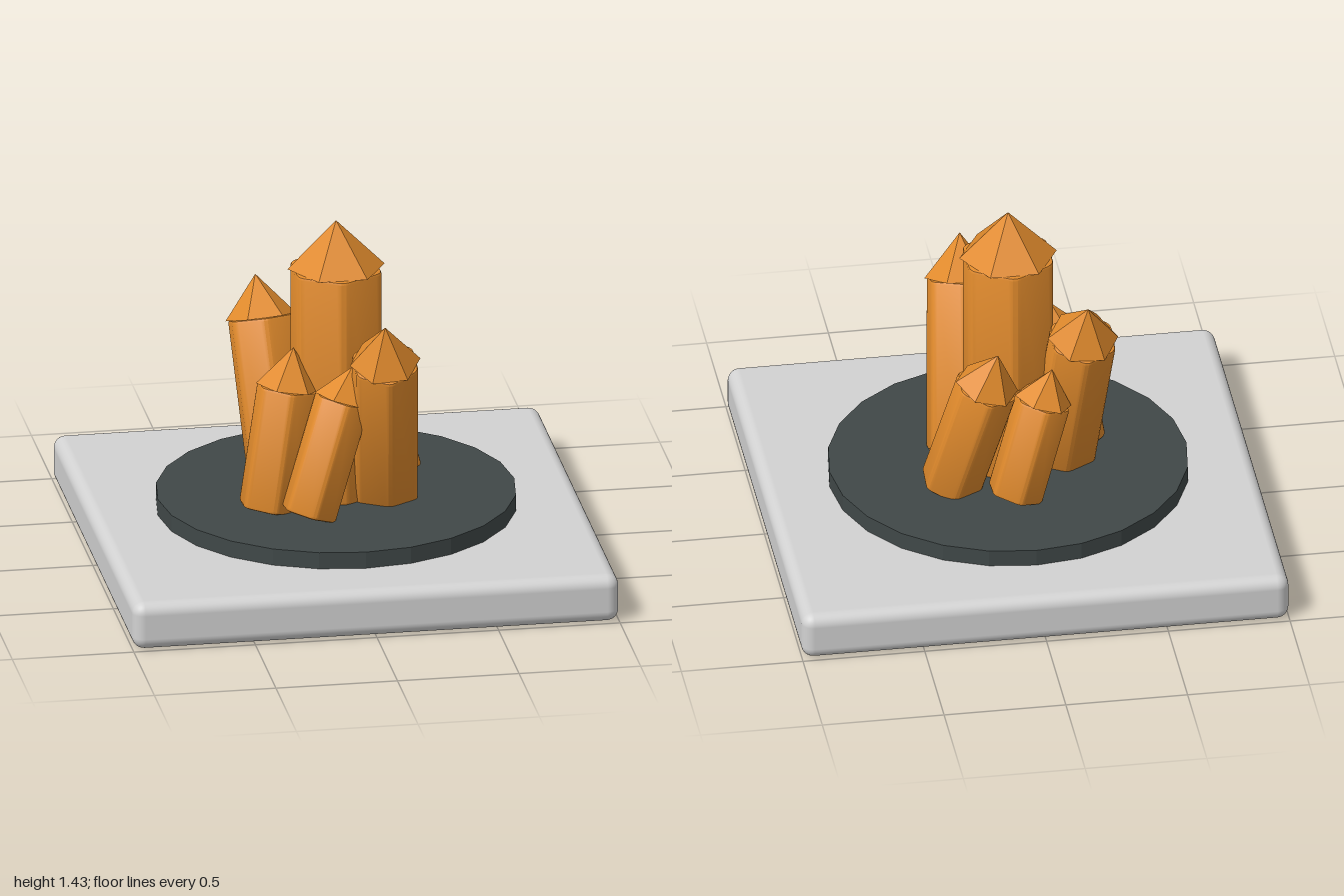
import * as THREE from 'three';
import { toCreasedNormals } from 'three/addons/utils/BufferGeometryUtils.js';
import { RoundedBoxGeometry } from 'three/addons/geometries/RoundedBoxGeometry.js';

const material = (name, color, flatShading = false) => {
  const m = new THREE.MeshStandardMaterial({ color, flatShading });
  m.name = name;
  return m;
};

// Hexagonal prism along +y with softened edges, points towards +z and -z
function prismGeometry(radius, length) {
  const bevel = 0.012, soft = 0.14;
  const corner = i => new THREE.Vector2(0, radius - bevel)
    .rotateAround(new THREE.Vector2(), i * Math.PI / 3);
  const shape = new THREE.Shape();
  for (let i = 0; i < 6; i++) {
    const c = corner(i);
    const a = c.clone().lerp(corner(i - 1), soft);
    const b = c.clone().lerp(corner(i + 1), soft);
    if (i === 0) shape.moveTo(a.x, a.y);
    else shape.lineTo(a.x, a.y);
    shape.quadraticCurveTo(c.x, c.y, b.x, b.y);
  }
  shape.closePath();
  const geometry = new THREE.ExtrudeGeometry(shape, {
    depth: length - 2 * bevel, curveSegments: 3,
    bevelEnabled: true, bevelSize: bevel, bevelThickness: bevel, bevelSegments: 2,
  });
  geometry.translate(0, 0, bevel).rotateX(-Math.PI / 2);
  return toCreasedNormals(geometry, 0.5);
}

// One crystal running from the centre of its foot to its tip
function crystal(name, foot, tip, radius, capHeight, [bodyMaterial, tipMaterial]) {
  const start = new THREE.Vector3(...foot);
  const axis = new THREE.Vector3(...tip).sub(start);
  const length = axis.length() - capHeight;
  const group = new THREE.Group();
  group.name = name;

  const body = new THREE.Mesh(prismGeometry(radius, length), bodyMaterial);
  body.name = 'crystalBody';

  // Pointed cap, turned half a side against the prism
  const cap = new THREE.Mesh(
    toCreasedNormals(new THREE.ConeGeometry(radius, capHeight, 6), 0.2), tipMaterial);
  cap.name = 'crystalTip';
  cap.rotation.y = Math.PI / 6;
  cap.position.y = length + capHeight / 2;

  group.add(body, cap);
  group.position.copy(start);
  group.quaternion.setFromUnitVectors(new THREE.Vector3(0, 1, 0), axis.normalize());
  return group;
}

export function createModel() {
  const model = new THREE.Group();
  model.name = 'crystalCluster';
  const stone = material('paleStone', 0xd2d2d2);
  const slate = material('darkSlate', 0x404848);
  const amber = material('amber', 0xe08a2c);

  // Square slab with rounded edges
  const slab = new THREE.Mesh(new RoundedBoxGeometry(2, 0.2, 2, 4, 0.05), stone);
  slab.name = 'baseSlab';
  slab.position.y = 0.1;

  // Round plinth
  const disc = new THREE.Mesh(
    toCreasedNormals(new THREE.CylinderGeometry(0.733, 0.733, 0.07, 24), 0.2), slate);
  disc.name = 'plinthDisc';
  disc.position.y = 0.235;
  model.add(slab, disc);

  // name, foot, tip, radius, cap height
  const crystals = [
    ['centralCrystal', [0, 0.265, 0], [0, 1.435, 0], 0.2, 0.2],
    ['frontTallCrystal', [0.185, 0.27, 0.09], [0.135, 1.11, 0.4], 0.145, 0.185],
    ['backTallCrystal', [-0.22, 0.27, 0], [-0.285, 1.115, -0.28], 0.145, 0.175],
    ['rightMediumCrystal', [-0.3, 0.265, 0.15], [-0.19, 0.93, 0.09], 0.132, 0.165],
    ['leftMediumCrystal', [0.26, 0.27, -0.16], [0.085, 0.93, -0.28], 0.132, 0.165],
    ['frontSmallCrystal', [-0.165, 0.285, 0.31], [0.03, 0.88, 0.22], 0.12, 0.14],
    ['backSmallCrystal', [0.02, 0.285, -0.31], [-0.14, 0.83, -0.26], 0.12, 0.14],
  ];
  for (const c of crystals) model.add(crystal(...c, [amber, amber]));
  return model;
}
